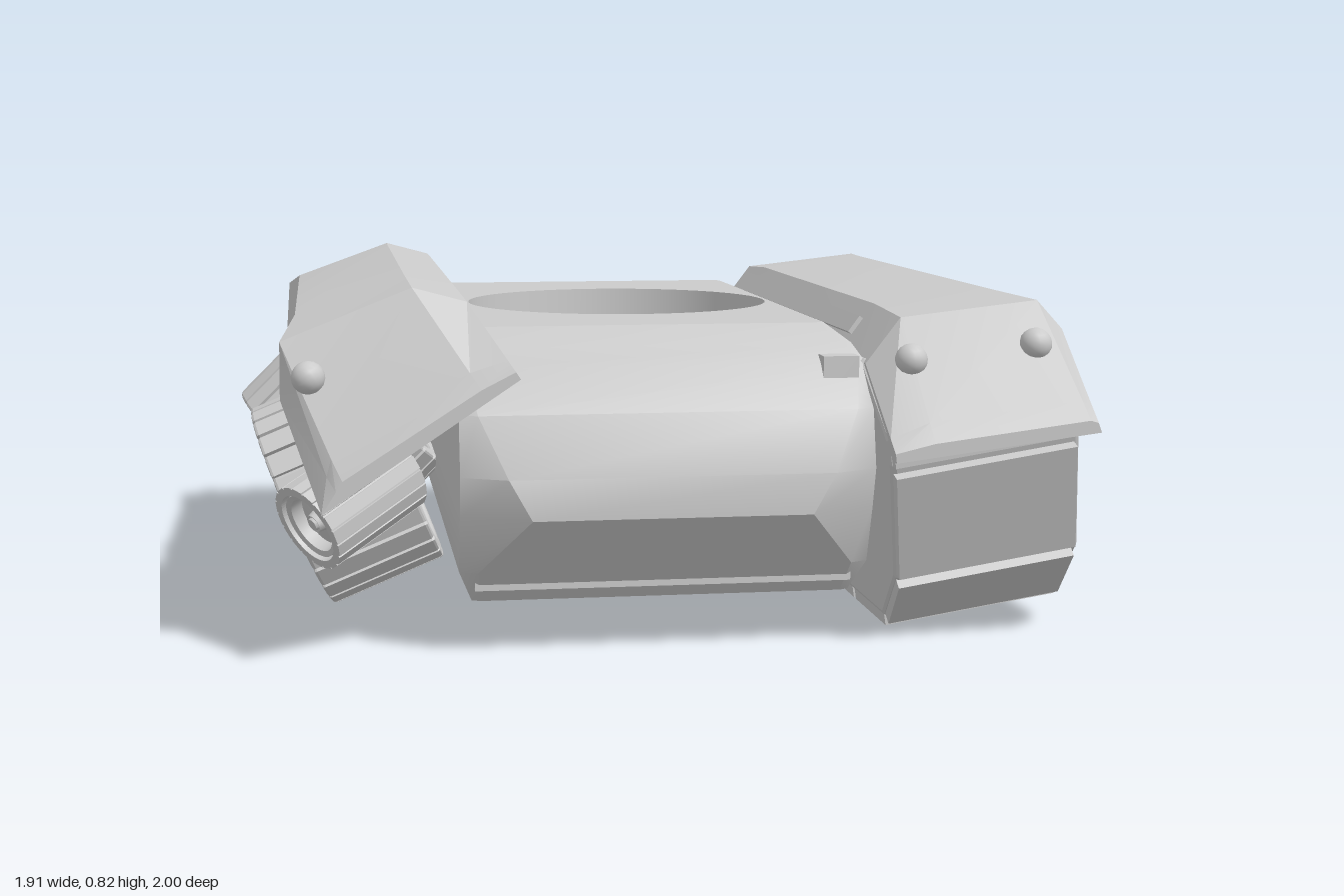
import * as THREE from 'three';
import { toCreasedNormals } from 'three/addons/utils/BufferGeometryUtils.js';

const grey = new THREE.MeshStandardMaterial({ color: 0xcccccc });
const greyDouble = new THREE.MeshStandardMaterial({ color: 0xcccccc, side: THREE.DoubleSide });

function add(parent, name, geo, x = 0, y = 0, z = 0, mat = grey) {
  const m = new THREE.Mesh(geo, mat);
  m.name = name;
  m.position.set(x, y, z);
  parent.add(m);
  return m;
}
const box = (w, h, d) => new THREE.BoxGeometry(w, h, d);

// Skin between rings of [x, y, z] points, with optional end cap
function loft(rings, capEnd, crease) {
  const pos = [];
  const tri = (a, b, c) => pos.push(...a, ...b, ...c);
  const n = rings[0].length;
  for (let i = 0; i < rings.length - 1; i++) {
    for (let j = 0; j < n; j++) {
      const k = (j + 1) % n, r = rings[i], s = rings[i + 1];
      tri(r[j], r[k], s[k]);
      tri(r[j], s[k], s[j]);
    }
  }
  const first = rings[0], last = rings[rings.length - 1];
  for (let j = 1; j < n - 1; j++) {
    tri(first[0], first[j + 1], first[j]);
    if (capEnd) tri(last[0], last[j], last[j + 1]);
  }
  const geo = new THREE.BufferGeometry();
  geo.setAttribute('position', new THREE.Float32BufferAttribute(pos, 3));
  geo.computeVertexNormals();
  return toCreasedNormals(geo, crease);
}

const polygon = pts => new THREE.Shape(pts.map(p => new THREE.Vector2(...p)));

// Extrude a side shape (z, y) along +x
function extrudeX(shape, depth, bevel) {
  const g = new THREE.ExtrudeGeometry(shape, {
    depth: depth - 2 * bevel, bevelEnabled: bevel > 0, bevelSize: bevel,
    bevelThickness: bevel, bevelOffset: -bevel, bevelSegments: 2, curveSegments: 32 });
  return g.translate(0, 0, bevel).rotateY(Math.PI / 2);
}

// Road wheel: outer face at x = 0, body towards -x
function wheel(r, depth, name) {
  const g = new THREE.Group();
  g.name = name;
  const n = r > 0.15 ? 26 : 18, pts = [];
  for (let i = 0; i < n; i++) {
    for (const [f, k] of [[0, 1], [0.84, 1], [0.86, 0.96], [0.98, 0.96]]) {
      const a = (i + f) / n * Math.PI * 2;
      pts.push([Math.cos(a) * r * k, Math.sin(a) * r * k]);
    }
  }
  const tread = polygon(pts);
  tread.holes.push(new THREE.Path().absarc(0, 0, r * 0.8, 0, Math.PI * 2, true));
  add(g, 'tyre', extrudeX(tread, depth, r > 0.15 ? 0.007 : 0), -depth);
  // Stepped rim, dish and hub cap
  const dish = [[0, -0.014], [0.13, -0.014], [0.15, -0.02], [0.2, -0.018], [0.24, -0.035], [0.6, -0.04],
    [0.63, -0.012], [0.75, -0.008], [0.78, -0.03], [0.85, -0.03]]
    .map(([k, x]) => new THREE.Vector2(k * r, x)).reverse();
  const disc = toCreasedNormals(new THREE.LatheGeometry(dish, 32), 0.3);
  add(g, 'rim', disc.rotateZ(-Math.PI / 2), 0, 0, 0, greyDouble);
  const back = new THREE.CylinderGeometry(r * 0.85, r * 0.85, 0.02, 24);
  add(g, 'wheelBack', back.rotateZ(Math.PI / 2), -depth + 0.03);
  return g;
}

// Armoured fender along z; profile runs from the inner wall over the top to the outer bottom
function fender(profile, rivets) {
  const g = new THREE.Group();
  const w = profile[4][0];
  // z, underside, height scale, how far the outer top edge moves out
  const stations = [[1, 0, 0.1, 0.8], [0.97, 0, 0.24, 0.75], [0.82, 0.14, 0.96, 0.4], [0.6, 0.165, 1, 0]];
  const all = [...stations.map(s => [-s[0], ...s.slice(1)]), ...stations.slice().reverse()];
  const rings = all.map(([z, b, s, out]) => {
    const [inner, innerTop, outerTop, outer] = profile;
    const low = ([x, y]) => [x, Math.max(y * s, b + 0.01), z];
    const edge = [THREE.MathUtils.lerp(outerTop[0], outer[0], out), outerTop[1]];
    return [[0, b, z], [w - 4 * b * (w - outer[0]), b, z], low(outer), low(edge), low(innerTop), low(inner)];
  });
  add(g, 'fenderShell', loft(rings, true, 0.25));
  for (const s of [1, -1]) {
    for (const [x, y] of rivets) {
      add(g, 'rivet', new THREE.SphereGeometry(0.036, 16, 10), x, y, s * 0.88);
    }
  }
  return g;
}

function hull() {
  const g = new THREE.Group();
  g.name = 'hull';
  // y, half width, front z, back z, front corner cut, back corner cut
  const levels = [[0.125, 0.425, 0.79, -0.76, 0.02, 0.02],
    [0.2, 0.455, 0.85, -0.82, 0.04, 0.03], [0.33, 0.455, 0.95, -0.885, 0.15, 0.03],
    [0.42, 0.455, 0.95, -0.89, 0.1, 0.02], [0.55, 0.455, 0.89, -0.89, 0.04, 0.02],
    [0.64, 0.455, 0.81, -0.86, 0.02, 0.02], [0.68, 0.435, 0.75, -0.8, 0.02, 0.02],
    [0.715, 0.4, 0.63, -0.66, 0.02, 0.02]];
  const rings = levels.map(([y, w, f, b, c, d]) => [[-w + c, y, f], [w - c, y, f], [w, y, f - c / 2],
    [w, y, b + d], [w - d, y, b], [-w + d, y, b], [-w, y, b + d], [-w, y, f - c / 2]]);
  add(g, 'hullBody', loft(rings, false, 0.5));

  // Deck with the round turret well
  const deck = polygon(rings[rings.length - 1].map(p => [p[0], -p[2]]));
  deck.holes.push(new THREE.Path().absarc(0.01, 0.01, 0.38, 0, Math.PI * 2, true));
  add(g, 'deck', new THREE.ShapeGeometry(deck, 24).rotateX(-Math.PI / 2), 0, 0.715, 0);
  const well = new THREE.CylinderGeometry(0.38, 0.38, 0.515, 48, 1, true);
  add(g, 'turretWell', well, 0.01, 0.4575, -0.01, greyDouble);
  add(g, 'wellFloor', new THREE.CircleGeometry(0.38, 48).rotateX(-Math.PI / 2), 0.01, 0.2, -0.01);

  // Front brackets, rear handle and rear plate
  for (const s of [1, -1]) {
    add(g, 'frontBracket', box(0.08, 0.1, 0.05), s * 0.39, 0.61, 0.81);
    add(g, 'handleFoot', box(0.09, 0.07, 0.06), 0.01 + s * 0.145, 0.53, -0.885);
    add(g, 'handleArm', box(0.035, 0.04, 0.08), 0.01 + s * 0.145, 0.53, -0.93);
  }
  add(g, 'handleBar', box(0.325, 0.045, 0.045), 0.01, 0.53, -0.95);
  add(g, 'handlePlate', box(0.46, 0.07, 0.02), 0.01, 0.53, -0.89);
  add(g, 'rearPlate', box(0.44, 0.12, 0.03), 0, 0.262, -0.852).rotation.x = -0.46;
  add(g, 'frontSill', box(0.84, 0.02, 0.02), 0, 0.165, 0.815);
  return g;
}

function trackUnit() {
  const g = new THREE.Group();
  g.name = 'leftTrack';
  const mirror = half => [...half, ...half.map(([z, y]) => [-z, y]).reverse()];
  const outer = mirror([[0.8, 0.2], [0.955, 0.04], [0.955, -0.02], [0.85, -0.295], [0.69, -0.42]]);
  const inner = mirror([[0.79, 0.14], [0.89, 0.01], [0.885, -0.05], [0.79, -0.28], [0.7, -0.365]]);
  const belt = polygon(outer);
  belt.holes.push(polygon(inner));
  add(g, 'trackRim', extrudeX(belt, 0.43, 0.012));
  add(g, 'innerWall', extrudeX(polygon(outer), 0.16, 0.01), 0.005);
  // Raised lip around the opening
  const lip = polygon(inner.map(([z, y]) => [z * 1.02, y + Math.sign(y + 0.1) * 0.015]));
  lip.holes.push(polygon(inner.map(([z, y]) => [z * 0.985, y - Math.sign(y + 0.1) * 0.01])));
  add(g, 'openingLip', extrudeX(lip, 0.03, 0.006), 0.385);

  // Track plates along the ends and the bottom
  const path = [[0.96, 0.03], [0.955, -0.03], [0.85, -0.295], [0.69, -0.425], [0.4, -0.425], [0.03, -0.425],
    [-0.34, -0.425], [-0.69, -0.425], [-0.85, -0.295], [-0.955, -0.03], [-0.96, 0.03]];
  for (let i = 0; i < path.length - 1; i++) {
    const [z0, y0] = path[i], [z1, y1] = path[i + 1];
    const len = Math.hypot(z1 - z0, y1 - y0) - 0.02;
    const plate = add(g, 'trackPlate', box(0.41, 0.04, len), 0.21, (y0 + y1) / 2, (z0 + z1) / 2);
    plate.rotation.x = -Math.atan2(y1 - y0, z1 - z0);
  }

  for (const [z, y, r] of [[0.75, -0.09, 0.105], [0.37, -0.135, 0.245], [-0.16, -0.135, 0.25], [-0.63, -0.11, 0.205]]) {
    const w = wheel(r, 0.26, 'roadWheel');
    w.position.set(0.43, y, z);
    g.add(w);
  }

  const cover = fender([[0, 0.205], [0.09, 0.3], [0.37, 0.295], [0.455, 0.22], [0.46, 0]],
    [[0.088, 0.2], [0.371, 0.195]]);
  cover.name = 'leftFender';
  cover.position.set(0.002, -0.005, 0);
  cover.rotation.z = -0.03;
  add(cover, 'fenderStrip', box(0.045, 0.02, 1.2), 0.045, 0.253, 0).rotation.z = 0.81;
  g.add(cover);
  g.position.set(0.47, 0.45, 0);
  g.rotation.z = 0.156;
  return g;
}

// Broken side: sagging fender and loose wheels
function damagedSide() {
  const g = new THREE.Group();
  g.name = 'damagedRightSide';
  const cover = fender([[0, 0.185], [0.08, 0.28], [0.33, 0.345], [0.447, 0.237], [0.5, 0]], [[0.366, 0.24]]);
  cover.name = 'saggingFender';
  cover.rotation.order = 'ZYX';
  cover.rotation.set(0, Math.PI, 0.588);
  cover.position.set(-0.333, 0.641, 0);
  g.add(cover);
  const loose = [[0.25, 0.24, [-0.775, 0.295, -0.16], [-0.7, -0.7, 0]],
    [0.25, 0.28, [-0.815, 0.27, 0.37], [-0.92, -0.38, 0]],
    [0.105, 0.26, [-0.78, 0.29, 0.75], [-0.75, -0.42, 0.5]]];
  for (const [r, depth, p, dir] of loose) {
    const w = wheel(r, depth, 'looseWheel');
    w.position.set(...p);
    w.quaternion.setFromUnitVectors(new THREE.Vector3(1, 0, 0), new THREE.Vector3(...dir).normalize());
    g.add(w);
  }
  return g;
}

export function createModel() {
  const model = new THREE.Group();
  model.name = 'brokenTank';
  model.add(hull(), trackUnit(), damagedSide());
  return model;
}
